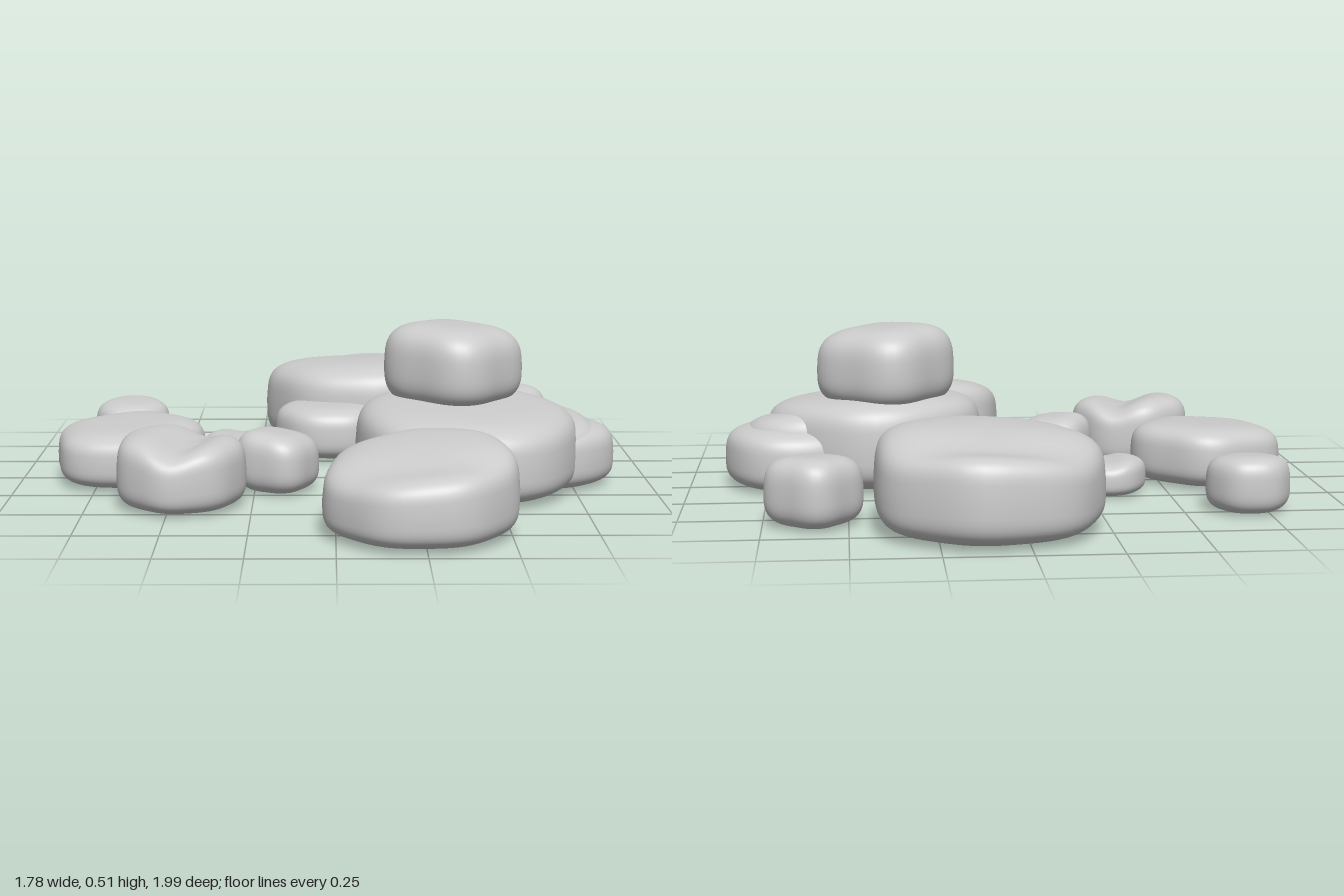
import * as THREE from 'three';
import { mergeVertices } from 'three/addons/utils/BufferGeometryUtils.js';

const material = new THREE.MeshStandardMaterial({ color: 0xcccccc });

// Rounded stone: a sphere squared off vertically, with softened corners in plan,
// a tilted top and one shallow trough pressed across it.
function stone({ name, x, z, rx, rz = rx, y = 0.005, h, round = 0.5,
  sides = 6, corner = 0.015, turn = 0, tilt = [0, 0], dent = [0, 0, 0] }) {
  const geo = new THREE.SphereGeometry(1, 56, 40);
  const p = geo.attributes.position;
  const [dentAngle, dentOffset, dentDepth] = dent;
  for (let i = 0; i < p.count; i++) {
    const c = p.getY(i);
    const s = Math.hypot(p.getX(i), p.getZ(i));
    const a = s < 1e-6 ? 0 : Math.atan2(p.getZ(i), p.getX(i));
    const rho = s < 1e-6 ? 0 : Math.pow(s, round);
    const up = Math.sign(c) * Math.pow(Math.abs(c), round);
    const plan = 1 + corner * (Math.cos(sides * (a - turn)) - 0.5);
    // sides lean in a little toward the top
    const taper = 1 - 0.03 * Math.max(0, up);
    const u = rho * plan * taper * Math.cos(a);
    const v = rho * plan * taper * Math.sin(a);
    const across = (u * Math.cos(dentAngle) + v * Math.sin(dentAngle) - dentOffset) / 0.35;
    const lift = tilt[0] * u + tilt[1] * v - dentDepth * Math.exp(-across * across);
    const w = (up + 1) / 2;
    p.setXYZ(i, u * rx, y + w * (h + lift), v * rz);
  }
  // weld the seam so that shading is continuous
  geo.deleteAttribute('uv');
  geo.deleteAttribute('normal');
  const welded = mergeVertices(geo, 1e-5);
  welded.computeVertexNormals();
  const mesh = new THREE.Mesh(welded, material);
  mesh.name = name;
  mesh.position.set(x, 0, z);
  return mesh;
}

const H = Math.PI / 2;
const stones = [
  // large flat stones
  { name: 'backSlab', x: 0.1, z: -0.67, rx: 0.335, rz: 0.33, h: 0.3, round: 0.45, sides: 7,
    turn: 0.4, tilt: [0.015, 0], dent: [H, -0.55, 0.04] },
  { name: 'centreSlab', x: 0.412, z: 0.15, rx: 0.35, rz: 0.36, h: 0.28, round: 0.45, sides: 5,
    turn: -1.5, tilt: [-0.01, -0.025] },
  { name: 'frontSlab', x: 0.24, z: 0.72, rx: 0.28, rz: 0.278, h: 0.25, round: 0.45, sides: 7,
    turn: -0.7, tilt: [0.03, -0.03], dent: [H, 0.5, 0.02] },
  // stone balanced on the centre slab
  { name: 'topStone', x: 0.375, z: 0.045, rx: 0.212, rz: 0.209, y: 0.255, h: 0.26, round: 0.58,
    sides: 4, corner: 0.07, turn: -0.1, tilt: [-0.012, 0] },
  // medium stones
  { name: 'leftOuterStone', x: -0.655, z: 0.015, rx: 0.24, rz: 0.238, h: 0.19, round: 0.5, sides: 5,
    corner: 0.04, turn: -1.45, tilt: [0.01, -0.01] },
  { name: 'leftInnerStone', x: -0.465, z: 0.375, rx: 0.196, h: 0.225, round: 0.47, sides: 7,
    tilt: [-0.005, -0.01], dent: [0.3, 0.15, 0.035] },
  { name: 'rightLowStone', x: 0.665, z: 0.035, rx: 0.223, h: 0.2, round: 0.5, sides: 5, turn: 0.2 },
  { name: 'rightHighStone', x: 0.64, z: 0.07, rx: 0.2, h: 0.235, round: 0.5, sides: 5, turn: 0.5,
    tilt: [-0.02, -0.02] },
  { name: 'behindStone', x: -0.01, z: -0.395, rx: 0.188, h: 0.18, round: 0.52 },
  // small stones
  { name: 'backRightPebble', x: 0.6, z: -0.565, rx: 0.14, h: 0.205, round: 0.58, sides: 4,
    corner: 0.07, turn: -0.1, tilt: [0, -0.01] },
  { name: 'backLeftPebble', x: -0.695, z: -0.475, rx: 0.126, h: 0.17, round: 0.55, tilt: [0, -0.01] },
  { name: 'middlePebble', x: -0.305, z: -0.18, rx: 0.126, h: 0.12, round: 0.55,
    dent: [0, 0, 0.015] },
  { name: 'innerPebble', x: -0.178, z: 0.172, rx: 0.128, h: 0.19, round: 0.6, sides: 4,
    corner: 0.06, turn: -0.3, tilt: [-0.015, 0] },
  { name: 'tuckedPebbleFront', x: 0.13, z: 0.35, rx: 0.07, h: 0.09, round: 0.6 },
  { name: 'tuckedPebbleBack', x: 0.085, z: 0.15, rx: 0.07, h: 0.09, round: 0.6 },
];

export function createModel() {
  const group = new THREE.Group();
  group.name = 'stonePile';
  for (const s of stones) group.add(stone(s));
  return group;
}
